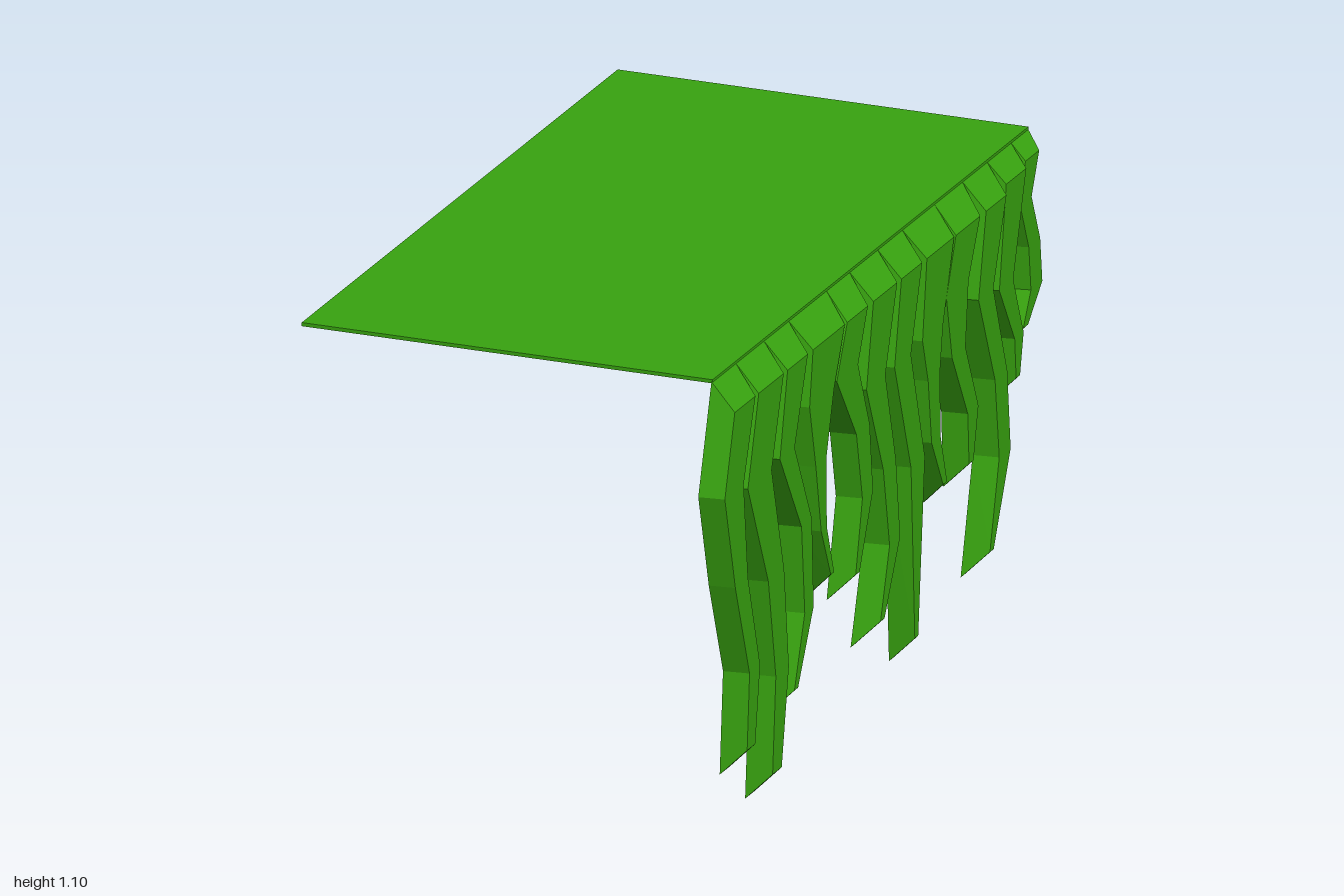
import * as THREE from 'three';

const INNER_X = 0.485;
const TOP_Y = 1.1;

// Neighbouring strands share these z borders along the sheet's edge
const BORDERS = [0.92, 0.775, 0.605, 0.455, 0.225, 0.085, -0.085, -0.235, -0.43, -0.6, -0.75, -0.895, -1];

// Centre line below the sheet as [y, z], with widths at the bend, lower part and tip
const STRANDS = [
  { path: [[0.84, 0.935], [0.6, 0.89], [0.36, 0.81], [0.11, 0.84]], bend: 0.13, lower: 0.08, tip: 0.06 },
  { path: [[0.82, 0.78], [0.55, 0.68], [0.3, 0.643], [0, 0.683]], bend: 0.16, lower: 0.095, tip: 0.065 },
  { path: [[0.83, 0.613], [0.62, 0.495], [0.4, 0.48], [0.165, 0.588]], bend: 0.105, lower: 0.07 },
  { path: [[0.9, 0.403], [0.74, 0.408], [0.57, 0.39], [0.38, 0.313]], bend: 0.165, lower: 0.05 },
  { path: [[0.91, 0.248], [0.74, 0.153], [0.57, 0.125], [0.33, 0.208]], bend: 0.145, lower: 0.08 },
  { path: [[0.83, 0.075], [0.6, -0.008], [0.4, -0.04], [0.165, 0.063]], bend: 0.13, lower: 0.08 },
  { path: [[0.83, -0.088], [0.55, -0.18], [0.055, -0.17]], bend: 0.115, lower: 0.1 },
  { path: [[0.84, -0.27], [0.73, -0.278], [0.57, -0.29], [0.38, -0.373]], bend: 0.14, lower: 0.07 },
  { path: [[0.9, -0.42], [0.74, -0.428], [0.57, -0.515], [0.38, -0.498]], bend: 0.15, lower: 0.08 },
  { path: [[0.83, -0.593], [0.6, -0.685], [0.4, -0.708], [0.12, -0.605]], bend: 0.105, lower: 0.085 },
  { path: [[0.8, -0.75], [0.65, -0.828], [0.5, -0.818]], bend: 0.1, lower: 0.07, depth: 0.05 },
  { path: [[0.96, -0.893], [0.84, -0.945], [0.73, -0.958], [0.61, -0.858]], bend: 0.085, lower: 0.085, depth: 0.04 },
];

// Cross-sections [y, front z, back z]: full width at the sheet, thinning to the tip
function strandRows({ path, bend, lower, tip = 0.025 }, front, back) {
  const end = path.length - 1;
  const rows = path.map(([y, z], i) => {
    const t = i / (end - 1);
    const width = i === end ? tip : lower + (bend - lower) * (1 - t) ** 2;
    return [y, z + width / 2, z - width / 2];
  });
  return [[TOP_Y, front, back], ...rows];
}

// Faceted strand: the outer face is inset so top, tip and sides are bevelled
function strandGeometry(rows, depth) {
  const last = rows.length - 1;
  const outerX = INNER_X + depth;
  const points = [];
  rows.forEach(([y, front, back], i) => {
    let outer = [y, front, back];
    if (i === 0 || i === last) {
      // slide the end along the strand toward its neighbouring section
      const next = rows[i === 0 ? 1 : last - 1];
      const t = depth / Math.abs(next[0] - y);
      outer = outer.map((v, n) => v + (next[n] - v) * t);
    }
    const [oy, of, ob] = outer;
    const inset = Math.min(0.008, (of - ob) * 0.2);
    points.push(
      INNER_X, y, front,
      outerX, oy, of - inset,
      outerX, oy, ob + inset,
      INNER_X, y, back);
  });
  const index = [0, 1, 2, 0, 2, 3];
  for (let i = 0; i < last; i++) {
    for (let j = 0; j < 4; j++) {
      const k = (j + 1) % 4, a = i * 4, b = a + 4;
      index.push(a + j, b + j, b + k, a + j, b + k, a + k);
    }
  }
  const e = last * 4;
  index.push(e, e + 2, e + 1, e, e + 3, e + 2);
  const g = new THREE.BufferGeometry();
  g.setAttribute('position', new THREE.Float32BufferAttribute(points, 3));
  g.setIndex(index);
  const flat = g.toNonIndexed();
  flat.computeVertexNormals();
  return flat;
}

export function createModel() {
  const model = new THREE.Group();
  model.name = 'hangingFoliage';
  const leafGreen = new THREE.MeshStandardMaterial({ color: 0x38a310 });
  leafGreen.name = 'leafGreen';

  // Flat sheet on top
  const sheet = new THREE.Mesh(new THREE.BoxGeometry(1.04, 0.009, 1.918), leafGreen);
  sheet.name = 'topSheet';
  sheet.position.set(-0.033, TOP_Y, -0.041);
  model.add(sheet);

  // Row of strands hanging along one edge
  const fringe = new THREE.Group();
  fringe.name = 'fringe';
  STRANDS.forEach((spec, i) => {
    const rows = strandRows(spec, BORDERS[i], BORDERS[i + 1]);
    const strand = new THREE.Mesh(strandGeometry(rows, spec.depth ?? 0.064), leafGreen);
    strand.name = `strand${i + 1}`;
    fringe.add(strand);
  });
  model.add(fringe);
  return model;
}
